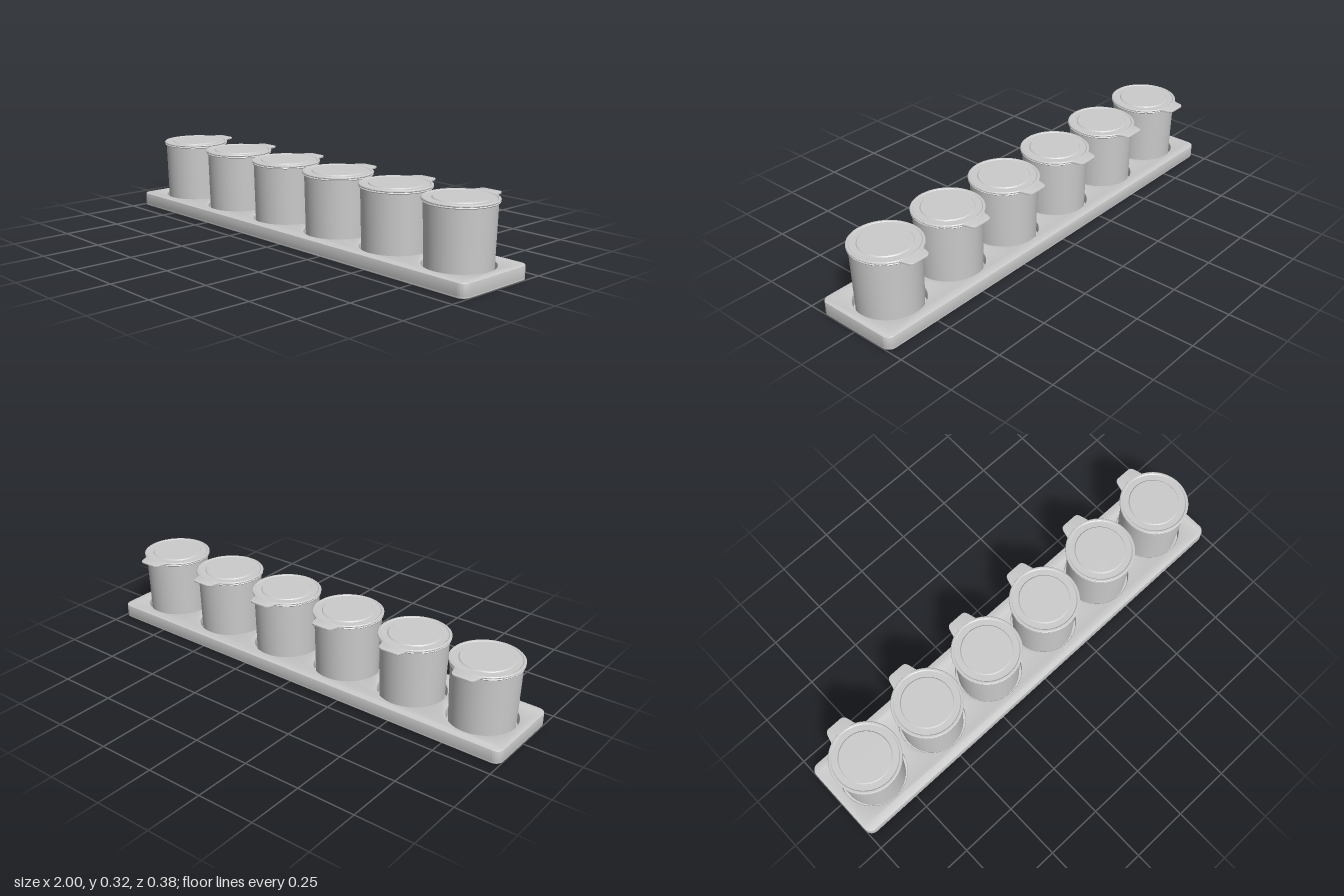
import * as THREE from 'three';
import { toCreasedNormals } from 'three/addons/utils/BufferGeometryUtils.js';

const material = new THREE.MeshStandardMaterial({ color: 0xcccccc });
const CUPS = 6, PITCH = 0.327;
const cupX = (i) => (i - (CUPS - 1) / 2) * PITCH;

function part(name, geometry) {
  const mesh = new THREE.Mesh(toCreasedNormals(geometry, 0.5), material);
  mesh.name = name;
  return mesh;
}

const lathe = (points) =>
  new THREE.LatheGeometry(points.map(([r, y]) => new THREE.Vector2(r, y)), 64);

// Extrudes a plan-view shape (shape y = -z) upward from y0 to y1 with bevelled edges
function slab(shape, y0, y1, bevel) {
  const geometry = new THREE.ExtrudeGeometry(shape, {
    depth: y1 - y0 - 2 * bevel, curveSegments: 24,
    bevelThickness: bevel, bevelSize: bevel, bevelOffset: -bevel, bevelSegments: 3,
  });
  return geometry.rotateX(-Math.PI / 2).translate(0, y0 + bevel, 0);
}

function trayOutline() {
  const w = 1, d = 0.188, r = 0.035;
  const s = new THREE.Shape();
  s.absarc(w - r, d - r, r, 0, Math.PI / 2);
  s.absarc(-w + r, d - r, r, Math.PI / 2, Math.PI);
  s.absarc(-w + r, -d + r, r, Math.PI, Math.PI * 1.5);
  s.absarc(w - r, -d + r, r, Math.PI * 1.5, Math.PI * 2);
  s.closePath();
  return s;
}

// Pull tab, flared where it meets the lid
function tabOutline() {
  const s = new THREE.Shape();
  s.moveTo(-0.07, 0.124);
  s.bezierCurveTo(-0.05, 0.14, -0.06, 0.188, -0.03, 0.188);
  s.lineTo(0.03, 0.188);
  s.bezierCurveTo(0.06, 0.188, 0.05, 0.14, 0.07, 0.124);
  s.closePath();
  return s;
}

export function createModel() {
  const model = new THREE.Group();
  model.name = 'cupTraySet';

  // Tray: a floor plate plus a body pierced by the cup recesses
  const tray = new THREE.Group();
  tray.name = 'tray';
  const body = trayOutline();
  for (let i = 0; i < CUPS; i++) {
    body.holes.push(new THREE.Path().absarc(cupX(i), 0, 0.143, 0, Math.PI * 2, true));
  }
  tray.add(part('trayFloor', slab(trayOutline(), 0, 0.012, 0.004)));
  tray.add(part('trayBody', slab(body, 0.003, 0.059, 0.004)));
  model.add(tray);

  // Tapered hollow cup with a rolled rim
  const cup = part('cup', lathe([
    [0, 0.012], [0.128, 0.012], [0.132, 0.016], [0.14, 0.299], [0.145, 0.3],
    [0.147, 0.3025], [0.145, 0.305], [0.134, 0.305], [0.126, 0.022], [0, 0.022],
  ]));

  // Lid with a raised edge and a raised centre panel; its plug sits in the cup
  const lid = part('lid', lathe([
    [0, 0.296], [0.132, 0.296], [0.132, 0.307], [0.146, 0.307], [0.148, 0.309],
    [0.148, 0.312], [0.145, 0.315], [0.138, 0.315], [0.134, 0.312],
    [0.109, 0.312], [0.105, 0.316], [0, 0.316],
  ]));
  const tab = part('pullTab', slab(tabOutline(), 0.307, 0.3145, 0.0015));
  // Keep the tab root below the lid's recessed ring
  tab.geometry.computeBoundingBox();
  const pos = tab.geometry.attributes.position;
  for (let i = 0; i < pos.count; i++) {
    if (pos.getZ(i) > -0.135) pos.setY(i, Math.min(pos.getY(i), 0.311));
  }

  for (let i = 0; i < CUPS; i++) {
    const unit = new THREE.Group();
    unit.name = `liddedCup${i + 1}`;
    unit.add(cup.clone(), lid.clone(), tab.clone());
    unit.position.x = cupX(i);
    model.add(unit);
  }
  return model;
}
